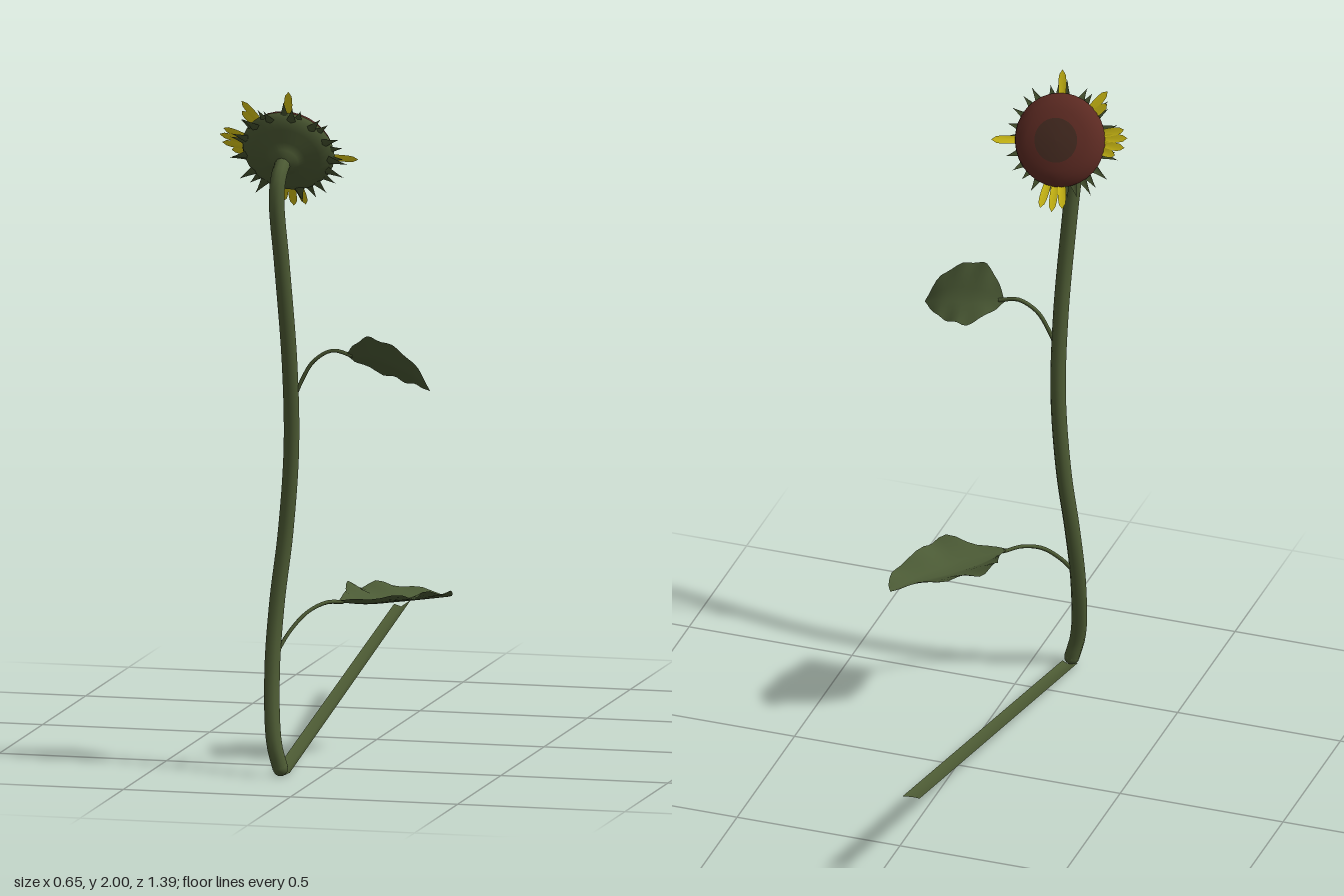
import * as THREE from 'three';

const mat = (name, color, side = THREE.FrontSide) => {
  const m = new THREE.MeshStandardMaterial({ color, side });
  m.name = name;
  return m;
};
const V = (p) => new THREE.Vector3(...p);
const curve = (pts) => new THREE.CatmullRomCurve3(pts.map(V));

export function createModel() {
  const stemGreen = mat('stem green', 0x4d5b34, THREE.DoubleSide);
  const leafGreen = mat('leaf green', 0x4b5a35, THREE.DoubleSide);
  const sepalGreen = mat('sepal green', 0x46532f, THREE.DoubleSide);
  const petalYellow = mat('petal yellow', 0xdcc816, THREE.DoubleSide);
  const seedBrown = mat('seed brown', 0x5c2a22);
  const seedDark = mat('dark seed centre', 0x442a20);

  const root = new THREE.Group();
  root.name = 'wiltedFlower';
  const add = (parent, name, geo, material) => {
    const m = new THREE.Mesh(geo, material);
    m.name = name;
    parent.add(m);
    return m;
  };
  let seed = 7;
  const rnd = () => (seed = (seed * 16807) % 2147483647) / 2147483647;

  // Grid surface from a function of u, v in 0..1
  const surface = (nu, nv, f) => {
    const g = new THREE.PlaneGeometry(1, 1, nu, nv);
    const p = g.attributes.position;
    for (let i = 0; i < p.count; i++) {
      const q = f(p.getX(i) + 0.5, p.getY(i) + 0.5);
      p.setXYZ(i, q.x, q.y, q.z);
    }
    g.computeVertexNormals();
    return g;
  };

  // Main stem, curling over at the top, with a rounded foot
  const stem = curve([
    [-0.116, 0.025, 0.668], [-0.135, 0.1, 0.668], [-0.153, 0.3, 0.62],
    [-0.148, 0.5, 0.582], [-0.127, 0.7, 0.566], [-0.108, 0.95, 0.572], [-0.105, 1.2, 0.603],
    [-0.118, 1.5, 0.642], [-0.13, 1.68, 0.656], [-0.13, 1.75, 0.642], [-0.127, 1.785, 0.61],
    [-0.125, 1.8, 0.58],
  ]);
  add(root, 'stem', new THREE.TubeGeometry(stem, 64, 0.0225, 10), stemGreen);
  add(root, 'stemFoot', new THREE.SphereGeometry(0.0225, 10, 8), stemGreen).position.set(-0.116, 0.025, 0.668);

  // Flat trailing strip running back from the foot, folded lengthwise, notched at its end
  const near = [[-0.137, 0.012, 0.66], [-0.106, 0.004, 0.66], [-0.09, 0.012, 0.66]].map(V);
  const far = [[-0.124, 0.281, -0.68], [-0.1, 0.276, -0.67], [-0.079, 0.291, -0.7]].map(V);
  add(root, 'trailingStrip', surface(2, 8, (u, v) => {
    const i = Math.round(u * 2);
    return near[i].clone().lerp(far[i], v);
  }), stemGreen);

  // Leaf spanned between two edge curves and a midrib, with a ruffled rim
  const leaf = (name, a, mid, b, ruffle) => {
    const [ca, cm, cb] = [a, mid, b].map(curve);
    add(root, name, surface(8, 20, (u, v) => {
      const s = u * 2 - 1;
      const edge = (s < 0 ? ca : cb).getPoint(v);
      const p = cm.getPoint(v).lerp(edge, Math.abs(s));
      p.y += ruffle * s * s * Math.sin(v * 25 + s) * Math.sin(Math.PI * v);
      return p;
    }), leafGreen);
  };
  const stalk = (name, pts) =>
    add(root, name, new THREE.TubeGeometry(curve(pts), 16, 0.006, 6), stemGreen);

  stalk('lowerLeafStalk', [[-0.145, 0.35, 0.605], [-0.115, 0.41, 0.565], [-0.075, 0.46, 0.52],
    [-0.03, 0.483, 0.47], [0.01, 0.48, 0.43]]);
  leaf('lowerLeaf',
    [[0, 0.485, 0.44], [0, 0.5, 0.36], [-0.012, 0.51, 0.3], [0.02, 0.5, 0.25], [0.08, 0.5, 0.2], [0.17, 0.485, 0.172], [0.255, 0.457, 0.138]],
    [[0, 0.48, 0.44], [0.06, 0.464, 0.365], [0.13, 0.46, 0.285], [0.2, 0.459, 0.21], [0.255, 0.457, 0.138]],
    [[0, 0.485, 0.44], [0.1, 0.495, 0.425], [0.2, 0.5, 0.42], [0.225, 0.495, 0.345], [0.267, 0.488, 0.24], [0.269, 0.47, 0.165], [0.255, 0.457, 0.138]],
    0.01);

  stalk('upperLeafStalk', [[-0.095, 1.1, 0.59], [-0.075, 1.15, 0.585], [-0.04, 1.21, 0.58],
    [0.015, 1.243, 0.573], [0.075, 1.23, 0.572]]);
  leaf('upperLeaf',
    [[0.055, 1.23, 0.57], [0.095, 1.275, 0.615], [0.15, 1.3, 0.65], [0.215, 1.278, 0.657], [0.28, 1.23, 0.654], [0.323, 1.147, 0.632]],
    [[0.055, 1.23, 0.57], [0.12, 1.225, 0.577], [0.19, 1.212, 0.594], [0.26, 1.19, 0.612], [0.323, 1.147, 0.632]],
    [[0.055, 1.23, 0.57], [0.085, 1.205, 0.545], [0.15, 1.17, 0.508], [0.21, 1.157, 0.53], [0.265, 1.15, 0.565], [0.323, 1.147, 0.632]],
    0.005);

  // Flower head: local +y is the way the flower faces, local +z points up the disc
  const head = new THREE.Group();
  head.name = 'flowerHead';
  head.position.set(-0.125, 1.82, 0.54);
  head.rotation.x = -1.094;
  root.add(head);
  const lathe = (pts) => new THREE.LatheGeometry(pts.map((p) => new THREE.Vector2(...p)), 32);
  add(head, 'headBack', lathe([[0, -0.075], [0.025, -0.07], [0.042, -0.055], [0.06, -0.042],
    [0.1, -0.034], [0.13, -0.016], [0.137, 0]]), stemGreen);
  add(head, 'seedDisc', lathe([[0.137, 0], [0.131, 0.014], [0.112, 0.028], [0.09, 0.037], [0.065, 0.042]]), seedBrown);
  add(head, 'seedCentre', lathe([[0.065, 0.042], [0.035, 0.046], [0, 0.047]]), seedDark);

  // Slightly cupped blade growing outward from the rim; profile gives its width along its length
  const blade = (name, angle, r0, r1, profile, y0, y1, material) => {
    const g = surface(2, 6, (u, v) => {
      const s = u * 2 - 1;
      return new THREE.Vector3(r0 + (r1 - r0) * v, y0 + (y1 - y0) * v + 0.005 * s * s * (1 - v), s * profile(v));
    });
    add(head, name, g, material).rotation.y = -angle;
  };
  const spike = (v) => 0.017 * Math.pow(1 - v, 1.2);
  const tongue = (v) => 0.013 * Math.sqrt(1 - v * v * v) * (0.8 + 0.4 * v);

  // Two rings of spiky green sepals
  for (let ring = 0; ring < 2; ring++) {
    for (let i = 0; i < 14; i++) {
      const a = ((i + ring * 0.5 + (rnd() - 0.5) * 0.5) / 14) * Math.PI * 2;
      blade('sepal', a, 0.115, 0.162 + rnd() * 0.022, spike, -0.022 + ring * 0.008, -0.035 + ring * 0.02 + rnd() * 0.015, sepalGreen);
    }
  }

  // The few remaining petals: angle in degrees, tip radius
  [[84, 0.205], [127, 0.205], [135, 0.18], [162, 0.2], [169, 0.208], [177, 0.2], [185, 0.175],
    [351, 0.205], [258, 0.2], [267, 0.21], [277, 0.205]].forEach(([deg, r]) =>
    blade('petal', (deg * Math.PI) / 180, 0.12, r, tongue, -0.004, 0.012, petalYellow));

  return root;
}
